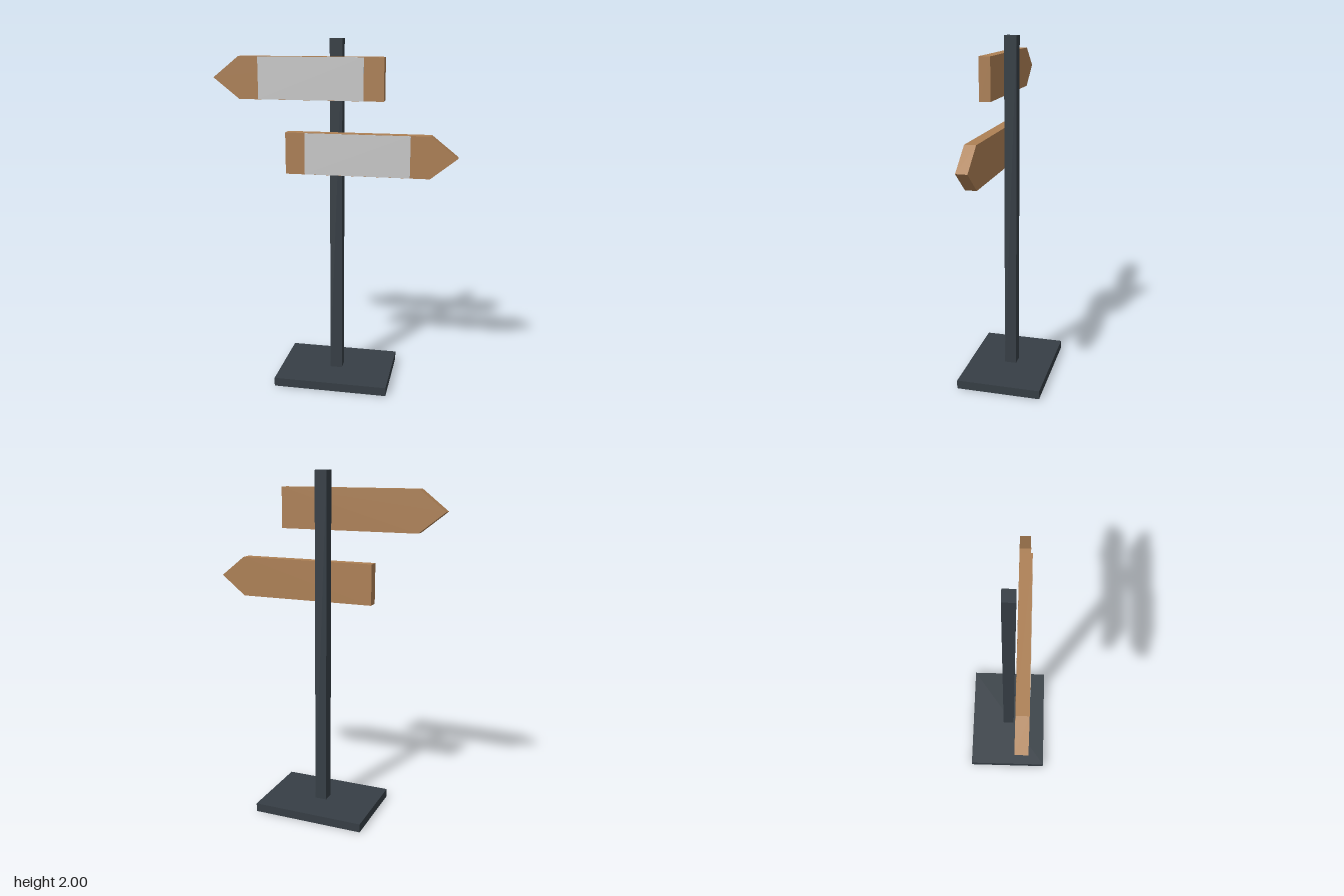
import * as THREE from 'three';

const flat = (name, color) => {
  const m = new THREE.MeshStandardMaterial({ color });
  m.name = name;
  return m;
};

export function createModel() {
  const metal = flat('darkMetal', 0x363e45);
  const wood = flat('wood', 0xad8055);
  const paint = flat('lightGreyPaint', 0xcacaca);
  const model = new THREE.Group();
  model.name = 'signpost';

  const box = (parent, name, material, size, position) => {
    const mesh = new THREE.Mesh(new THREE.BoxGeometry(...size), material);
    mesh.name = name;
    mesh.position.set(...position);
    parent.add(mesh);
  };

  // Base plate and square post
  box(model, 'base', metal, [0.66, 0.05, 0.49], [0, 0.025, 0]);
  box(model, 'post', metal, [0.07, 1.95, 0.07], [0, 1.025, 0]);

  // Arrow board pointing along +x (side 1) or -x (side -1)
  const height = 0.234, depth = 0.063, back = 0.044;
  const addSign = (name, side, y) => {
    const sign = new THREE.Group();
    sign.name = name;
    sign.position.set(0, y, back);
    const h = height / 2;
    const outline = [[-0.275, -h], [0.535, -h], [0.682, 0], [0.535, h], [-0.275, h]];
    const shape = new THREE.Shape(outline.map(([x, py]) => new THREE.Vector2(x * side, py)));
    const board = new THREE.Mesh(
      new THREE.ExtrudeGeometry(shape, { depth, bevelEnabled: false }), wood);
    board.name = 'arrowBoard';
    sign.add(board);
    // Painted panel on the front face
    box(sign, 'panel', paint, [0.59, height - 0.002, 0.004], [0.13 * side, 0, depth]);
    model.add(sign);
  };
  addSign('upperSign', -1, 1.787);
  addSign('lowerSign', 1, 1.373);

  return model;
}
